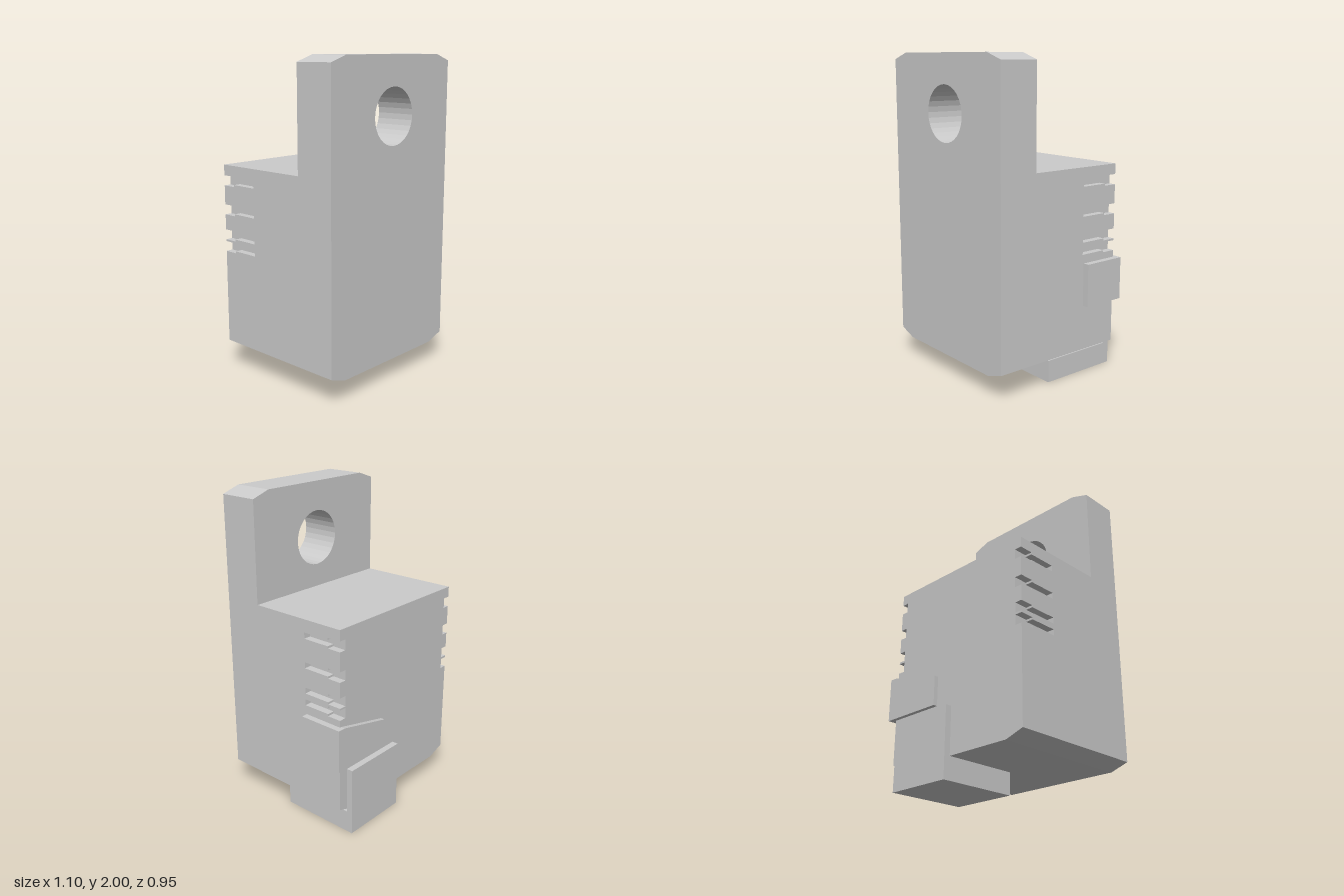
import * as THREE from 'three';

const material = new THREE.MeshStandardMaterial({ color: 0xcccccc, flatShading: true });

// Body limits and corner chamfer
const L = -0.55, R = 0.51, BOTTOM = 0.14, TOP = 2, SHELF = 1.33;
const CX = 0.12, CY = 0.04;
const SLOT_DEPTH = 0.047;
const SLOT_CENTRES = [0.81, 0.886, 1.047, 1.231];

const shapeOf = (points) => new THREE.Shape(points.map(([x, y]) => new THREE.Vector2(x, y)));

// Extrude an xy shape between two z positions
function slab(name, shape, zBack, zFront) {
  const geometry = new THREE.ExtrudeGeometry(shape, {
    depth: zFront - zBack, bevelEnabled: false, curveSegments: 16,
  });
  geometry.translate(0, 0, zBack);
  const mesh = new THREE.Mesh(geometry, material);
  mesh.name = name;
  return mesh;
}

// Box given by its limits on each axis
function block(name, [x0, x1], [y0, y1], [z0, z1]) {
  const geometry = new THREE.BoxGeometry(x1 - x0, y1 - y0, z1 - z0);
  geometry.translate((x0 + x1) / 2, (y0 + y1) / 2, (z0 + z1) / 2);
  const mesh = new THREE.Mesh(geometry, material);
  mesh.name = name;
  return mesh;
}

// Block section with a row of notches cut in both sides
function blockSection(halfHeight) {
  const right = [], left = [];
  if (halfHeight > 0) {
    for (const y of SLOT_CENTRES) {
      const lo = y - halfHeight, hi = y + halfHeight;
      right.push([R, lo], [R - SLOT_DEPTH, lo], [R - SLOT_DEPTH, hi], [R, hi]);
      left.unshift([L, hi], [L + SLOT_DEPTH, hi], [L + SLOT_DEPTH, lo], [L, lo]);
    }
  }
  return shapeOf([
    [L + CX, BOTTOM], [R - CX, BOTTOM], [R, BOTTOM + CY], ...right,
    [R, SHELF], [L, SHELF], ...left, [L, BOTTOM + CY],
  ]);
}

export function createModel() {
  const model = new THREE.Group();
  model.name = 'mountingBlock';

  // Tall front plate with chamfered corners and a round hole
  const plate = shapeOf([
    [L + CX, BOTTOM], [R - CX, BOTTOM], [R, BOTTOM + CY], [R, TOP - CY],
    [R - CX, TOP], [L + CX, TOP], [L, TOP - CY], [L, BOTTOM + CY],
  ]);
  const hole = new THREE.Path();
  hole.absarc(-0.016, 1.646, 0.172, 0, Math.PI * 2, true);
  plate.holes.push(hole);
  model.add(slab('frontPlate', plate, 0.218, 0.475));

  // Rear block: solid, then narrow slots, then wider slot mouths at the back
  const rear = new THREE.Group();
  rear.name = 'rearBlock';
  rear.add(
    slab('solidSection', blockSection(0), -0.165, 0.218),
    slab('narrowSlotSection', blockSection(0.019), -0.345, -0.165),
    slab('wideSlotSection', blockSection(0.032), -0.435, -0.345),
  );
  model.add(rear);

  // Corner clip: flat side pad and a tapering pad wrapped round the back
  const clip = new THREE.Group();
  clip.name = 'cornerClip';
  const taper = shapeOf([[0.13, 0.465], [0.55, 0.465], [0.55, 0.735], [0.5, 0.735], [0.13, 0.65]]);
  clip.add(
    block('sidePad', [R, 0.55], [0.465, 0.735], [-0.435, -0.175]),
    slab('backPad', taper, -0.462, -0.435),
  );
  model.add(clip);

  // Foot: pad under the block with an upright tab on the back
  const foot = new THREE.Group();
  foot.name = 'foot';
  foot.add(
    block('footPad', [0.005, 0.447], [0, BOTTOM], [-0.435, 0.05]),
    block('footTab', [0.005, 0.447], [0, 0.435], [-0.475, -0.435]),
  );
  model.add(foot);

  return model;
}
